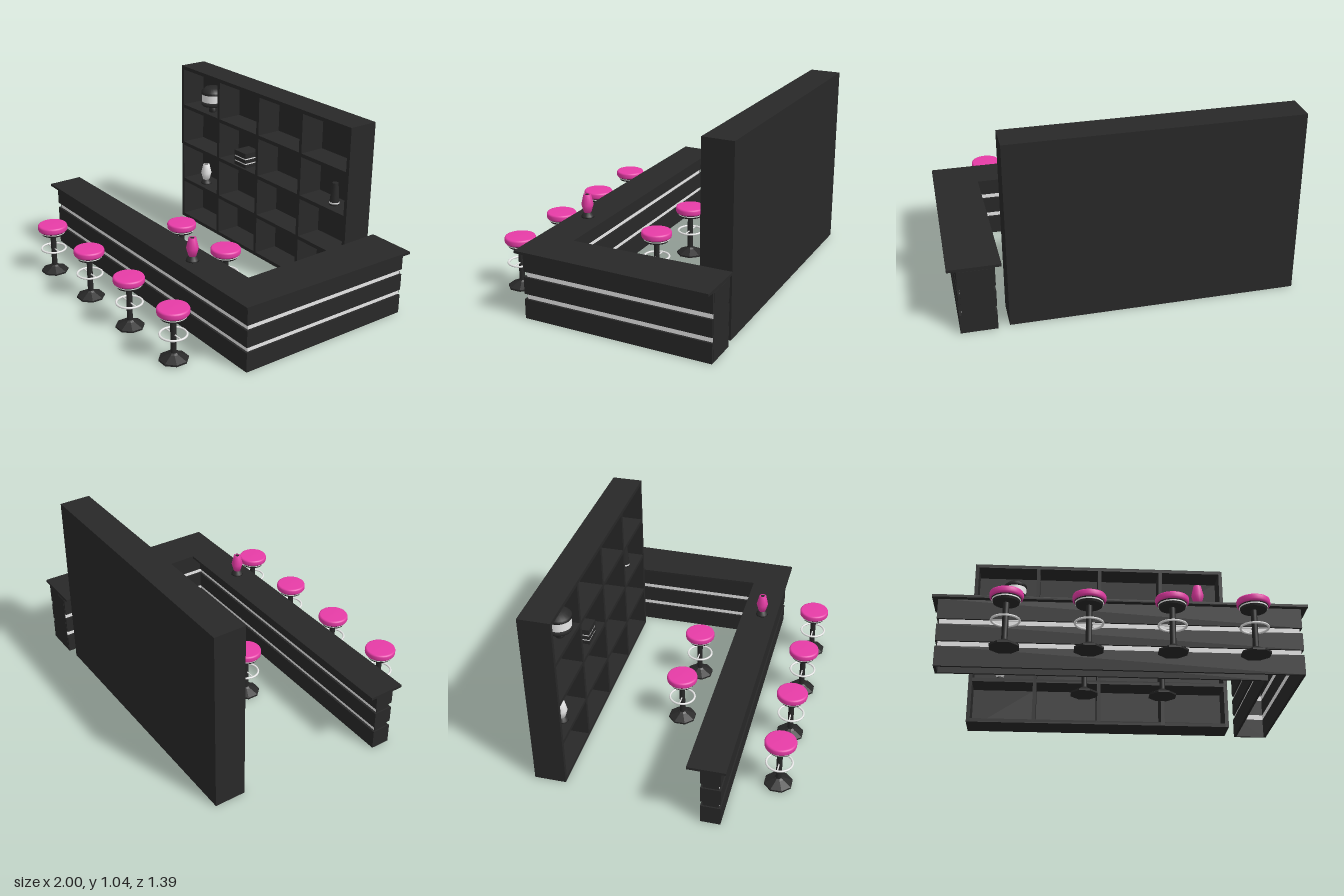
import * as THREE from 'three';

const dark = new THREE.MeshStandardMaterial({ color: 0x282828 });
const light = new THREE.MeshStandardMaterial({ color: 0xe8e8e8 });
const pink = new THREE.MeshStandardMaterial({ color: 0xee3eac });
dark.name = 'charcoal';
light.name = 'light grey';
pink.name = 'pink';

function add(parent, name, geometry, material, x = 0, y = 0, z = 0) {
  const mesh = new THREE.Mesh(geometry, material);
  mesh.name = name;
  mesh.position.set(x, y, z);
  parent.add(mesh);
  return mesh;
}

// box given by its min and max corners
function block(parent, name, material, [x0, y0, z0], [x1, y1, z1]) {
  return add(parent, name, new THREE.BoxGeometry(x1 - x0, y1 - y0, z1 - z0), material,
    (x0 + x1) / 2, (y0 + y1) / 2, (z0 + z1) / 2);
}

// turned shape from [radius, height] pairs, low to high; few sides give a faceted look
function turned(parent, name, material, profile, sides = 24) {
  const points = profile.map(([r, y]) => new THREE.Vector2(r, y));
  let geometry = new THREE.LatheGeometry(points, sides, Math.PI / sides);
  if (sides < 12) {
    geometry = geometry.toNonIndexed();
    geometry.computeVertexNormals();
  }
  return add(parent, name, geometry, material);
}

// upright prism from an x/z outline, optionally hollow (the hole runs the opposite way)
function prism(outline, y0, y1, hole) {
  const points = (list) => list.map(([x, z]) => new THREE.Vector2(x, z));
  const shape = new THREE.Shape(points(outline));
  if (hole) shape.holes.push(new THREE.Path(points(hole).reverse()));
  return new THREE.ExtrudeGeometry(shape, { depth: y1 - y0, bevelEnabled: false })
    .rotateX(Math.PI / 2).translate(0, y1, 0);
}

function makeCounter() {
  const counter = new THREE.Group();
  counter.name = 'counter';
  const outline = (i, rear = -0.695 + i) => [
    [-0.97 + i, 0.373 - i], [0.952 - i, 0.373 - i], [0.952 - i, rear],
    [0.757 + i, rear], [0.757 + i, 0.265 + i], [-0.97 + i, 0.265 + i],
  ];
  // hollow wall of dark bands with recessed light strips between
  const inner = outline(0.014);
  for (const [y0, y1] of [[0, 0.11], [0.14, 0.235], [0.265, 0.376]])
    add(counter, 'counterBand', prism(outline(0), y0, y1, inner), dark);
  for (const [y0, y1] of [[0.11, 0.14], [0.235, 0.265]])
    add(counter, 'counterStrip', prism(outline(0.012, -0.694), y0, y1, inner), light);
  // dark end plates
  block(counter, 'rearEndPlate', dark, [0.769, 0.01, -0.6965], [0.94, 0.37, -0.6935]);
  block(counter, 'sideEndPlate', dark, [-0.962, 0.01, 0.277], [-0.957, 0.37, 0.361]);
  // overhanging top
  add(counter, 'counterTop', prism([[-1, 0.403], [0.985, 0.403], [1, -0.695],
    [0.722, -0.695], [0.737, 0.2], [-1, 0.2]], 0.375, 0.389), dark);
  return counter;
}

function makeShelf() {
  const shelf = new THREE.Group();
  shelf.name = 'wallShelf';
  const x0 = -0.865, x1 = 0.695, z0 = -0.68, z1 = -0.505, h = 1.04, t = 0.022;
  block(shelf, 'backPanel', dark, [x0, 0, z0], [x1, h, z0 + 0.02]);
  for (let i = 0; i < 5; i++) {
    const x = x0 + i * (x1 - x0 - t) / 4;
    const y = i * (h - t) / 4;
    block(shelf, 'upright', dark, [x, 0, z0], [x + t, h, z1]);
    block(shelf, 'shelfBoard', dark, [x0, y, z0], [x1, y + t, z1]);
  }
  return shelf;
}

function makeStool(x, z) {
  const stool = new THREE.Group();
  stool.name = 'stool';
  stool.position.set(x, 0, z);
  turned(stool, 'stoolBase', dark,
    [[0, 0.008], [0.079, 0.008], [0.079, 0.018], [0.029, 0.042], [0.018, 0.05], [0, 0.05]], 8);
  add(stool, 'stoolPost', new THREE.CylinderGeometry(0.016, 0.016, 0.22, 16), dark, 0, 0.15, 0);
  // foot ring with a cross spoke
  add(stool, 'footRing', new THREE.TorusGeometry(0.071, 0.006, 8, 32).rotateX(Math.PI / 2), light, 0, 0.155, 0);
  add(stool, 'footRingSpoke', new THREE.CylinderGeometry(0.004, 0.004, 0.14, 6).rotateZ(Math.PI / 2), light, 0, 0.155, 0);
  add(stool, 'seatPlate', new THREE.CylinderGeometry(0.07, 0.066, 0.011, 28), dark, 0, 0.256, 0);
  add(stool, 'seatTrim', new THREE.CylinderGeometry(0.073, 0.073, 0.007, 28), light, 0, 0.265, 0);
  add(stool, 'seatPan', new THREE.CylinderGeometry(0.076, 0.074, 0.006, 28), dark, 0, 0.271, 0);
  turned(stool, 'seatCushion', pink, [[0, 0.273], [0.08, 0.273], [0.084, 0.277],
    [0.086, 0.284], [0.086, 0.3], [0.083, 0.307], [0.076, 0.31], [0, 0.311]], 32);
  return stool;
}

// bulging vase on a flared foot
function makeVase(name, material, x, y, z) {
  const vase = new THREE.Group();
  vase.name = name;
  vase.position.set(x, y, z);
  turned(vase, 'vaseFoot', dark, [[0, 0], [0.036, 0], [0.034, 0.008], [0.019, 0.03], [0, 0.03]], 16);
  turned(vase, 'vaseBody', material,
    [[0, 0.028], [0.021, 0.028], [0.034, 0.073], [0.021, 0.131], [0.012, 0.131]], 16);
  turned(vase, 'vaseMouth', dark, [[0.012, 0.13], [0, 0.13]], 16);
  return vase;
}

function makeUrn(x, y, z) {
  const urn = new THREE.Group();
  urn.name = 'urn';
  urn.position.set(x, y, z);
  turned(urn, 'urnStem', dark, [[0, 0], [0.024, 0], [0.02, 0.045], [0, 0.045]], 16);
  turned(urn, 'urnLowerRim', dark, [[0, 0.043], [0.066, 0.043], [0.071, 0.05], [0.071, 0.07], [0, 0.072]]);
  turned(urn, 'urnBand', light, [[0.068, 0.068], [0.068, 0.122]]);
  turned(urn, 'urnLid', dark, [[0, 0.118], [0.071, 0.118], [0.071, 0.137], [0.046, 0.16], [0, 0.162]]);
  return urn;
}

function makeBoxStack(x, y, z) {
  const stack = new THREE.Group();
  stack.name = 'boxStack';
  stack.position.set(x, y, z);
  for (const [y0, y1] of [[0, 0.022], [0.03, 0.053], [0.061, 0.093]])
    block(stack, 'stackedBox', dark, [-0.055, y0, -0.055], [0.055, y1, 0.055]);
  for (const y0 of [0.022, 0.053])
    block(stack, 'stackStripe', light, [-0.053, y0, -0.053], [0.053, y0 + 0.008, 0.053]);
  return stack;
}

function makeBottle(x, y, z) {
  const bottle = new THREE.Group();
  bottle.name = 'tallBottle';
  bottle.position.set(x, y, z);
  add(bottle, 'bottleFoot', new THREE.CylinderGeometry(0.029, 0.029, 0.01, 12), dark, 0, 0.005, 0);
  add(bottle, 'bottleTrim', new THREE.CylinderGeometry(0.029, 0.029, 0.009, 12), light, 0, 0.0145, 0);
  add(bottle, 'bottleBody', new THREE.CylinderGeometry(0.018, 0.028, 0.112, 12), dark, 0, 0.075, 0);
  return bottle;
}

export function createModel() {
  const model = new THREE.Group();
  model.name = 'barSet';
  model.add(makeCounter(), makeShelf());
  // four stools in front, two behind the counter
  for (const [x, z] of [[-0.602, 0.61], [-0.187, 0.603], [0.232, 0.603], [0.647, 0.603],
    [-0.187, -0.028], [0.245, -0.028]]) model.add(makeStool(x, z));
  // ornaments
  model.add(
    makeVase('counterVase', pink, 0.407, 0.389, 0.315),
    makeVase('shelfVase', light, -0.683, 0.276, -0.57),
    makeUrn(-0.613, 0.785, -0.567),
    makeBoxStack(-0.265, 0.531, -0.575),
    makeBottle(0.524, 0.531, -0.575),
  );
  return model;
}
